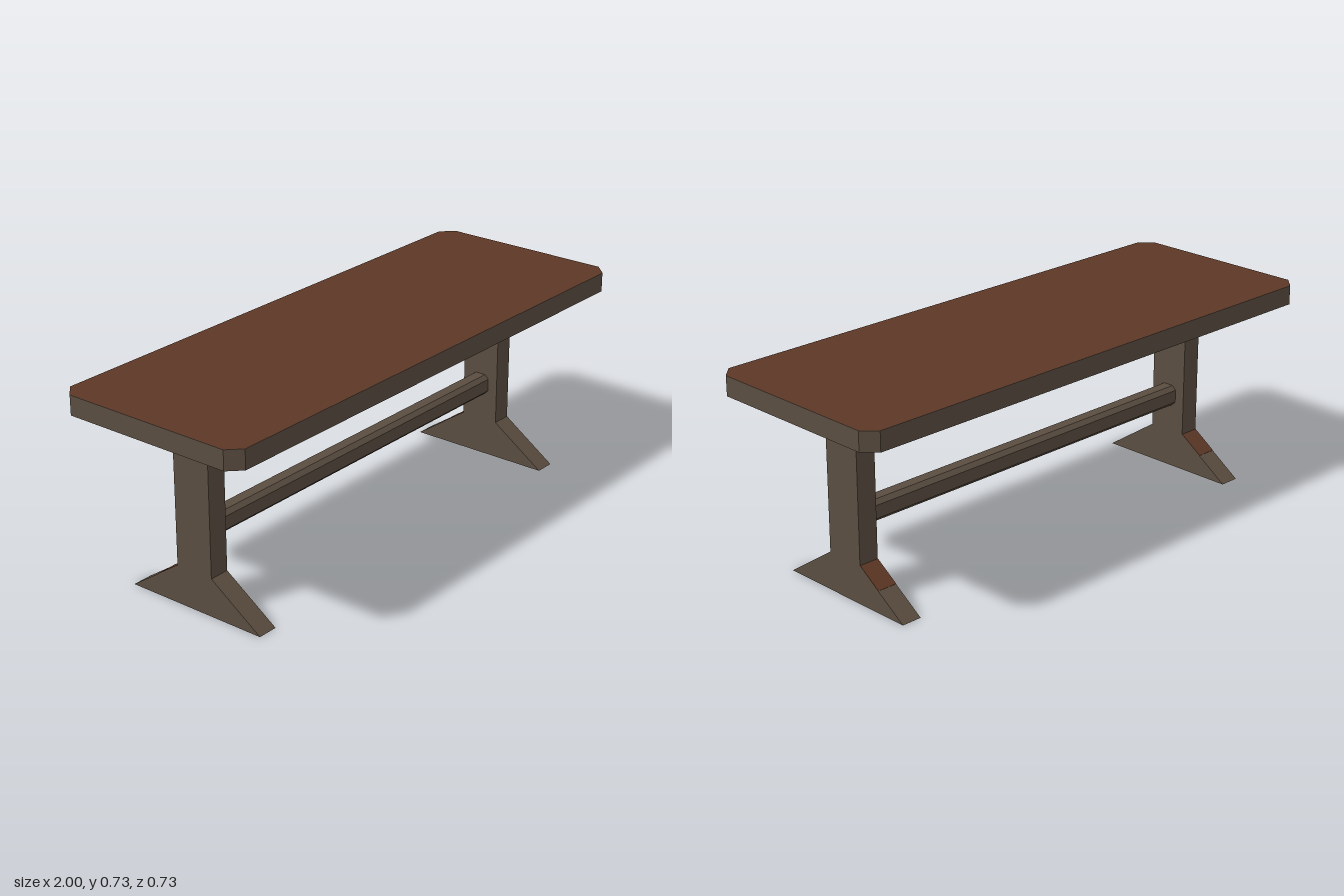
import * as THREE from 'three';

const woodFrame = new THREE.MeshStandardMaterial({ color: 0x5a4d40 });
woodFrame.name = 'greyBrownWood';
const woodTop = new THREE.MeshStandardMaterial({ color: 0x5c3725 });
woodTop.name = 'redBrownWood';

const shapeOf = (points) => new THREE.Shape(points.map(([a, b]) => new THREE.Vector2(a, b)));
const extrude = (shape, depth) => new THREE.ExtrudeGeometry(shape, { depth, bevelEnabled: false });

// Rectangle with cut corners, half sizes w and h
function cutRectangle(w, h, c) {
  return shapeOf([[w - c, -h], [w, c - h], [w, h - c], [w - c, h],
    [c - w, h], [-w, h - c], [-w, c - h], [c - w, -h]]);
}

function addMesh(parent, name, geometry, material) {
  const mesh = new THREE.Mesh(geometry, material);
  mesh.name = name;
  parent.add(mesh);
  return mesh;
}

export function createModel() {
  const table = new THREE.Group();
  table.name = 'trestleTable';

  // Tabletop slab with its stained upper face
  const outline = cutRectangle(1, 0.363, 0.045);
  const slab = extrude(outline, 0.069).rotateX(-Math.PI / 2).translate(0, 0.657, 0);
  addMesh(table, 'tabletop', slab, woodFrame);
  const surface = new THREE.ShapeGeometry(outline).rotateX(-Math.PI / 2).translate(0, 0.727, 0);
  addMesh(table, 'tabletopSurface', surface, woodTop);

  // Trestle profile: flared foot, upright post and flared head
  const half = [[0.273, 0], [0.073, 0.137], [0.073, 0.565], [0.273, 0.657]];
  const mirrored = half.map(([z, y]) => [-z, y]).reverse();
  const trestle = extrude(shapeOf([...half, ...mirrored]), 0.074)
    .translate(0, 0, -0.037).rotateY(Math.PI / 2);

  for (const side of [1, -1]) {
    const leg = new THREE.Group();
    leg.name = side > 0 ? 'leftLeg' : 'rightLeg';
    leg.position.x = side * 0.772;
    addMesh(leg, 'trestle', trestle, woodFrame);

    // Stained patch high on the rear slope of the foot
    const patch = addMesh(leg, 'footPatch', new THREE.BoxGeometry(0.074, 0.003, 0.104), woodTop);
    patch.position.set(0, 0.1075, -0.116);
    patch.rotation.x = -Math.atan2(0.137, 0.2);
    table.add(leg);
  }

  // Stretcher bar with chamfered edges
  const bar = extrude(cutRectangle(0.035, 0.038, 0.015), 1.472)
    .translate(0, 0, -0.736).rotateY(Math.PI / 2).translate(0, 0.277, 0);
  addMesh(table, 'stretcher', bar, woodFrame);

  return table;
}
